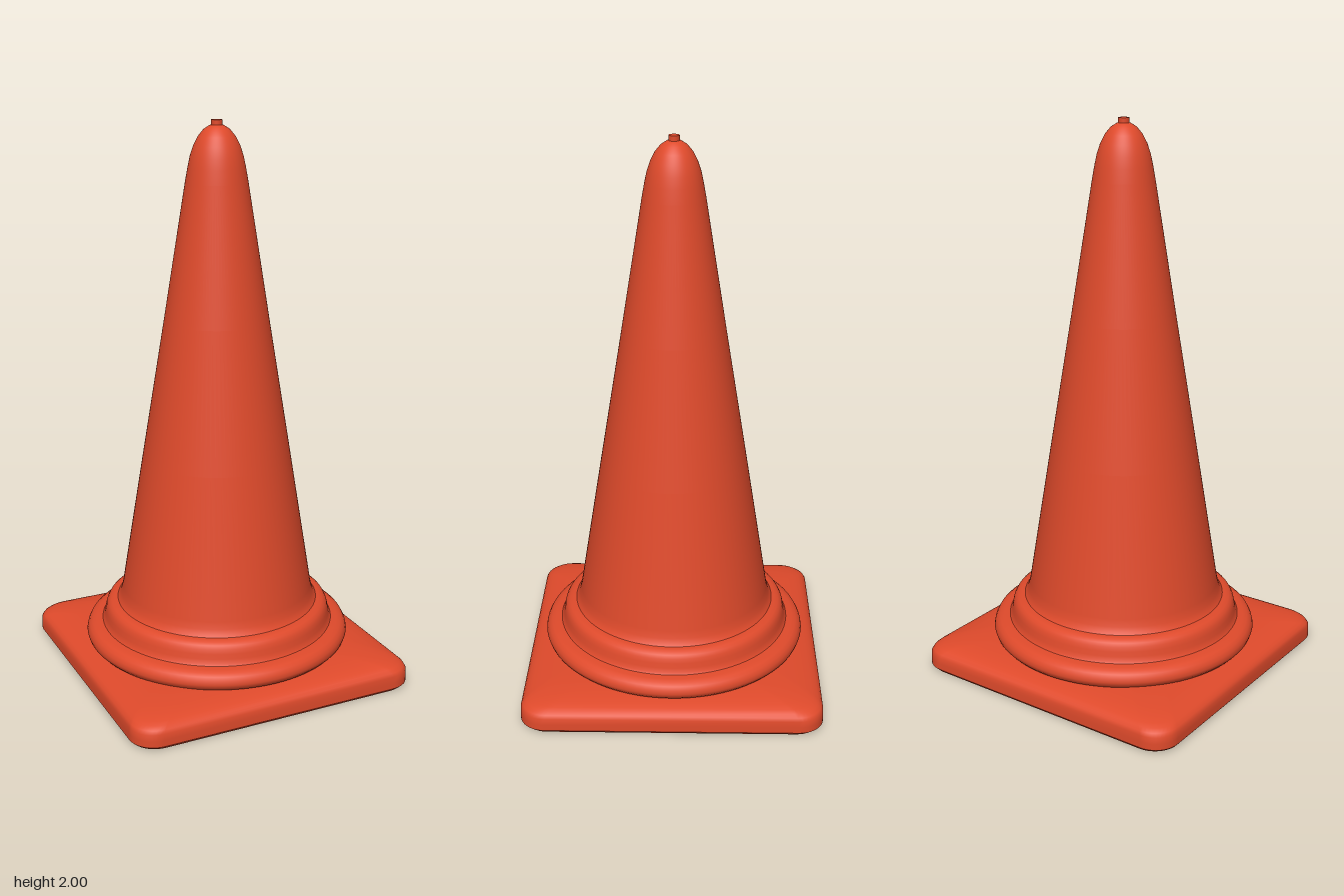
import * as THREE from 'three';

const orange = new THREE.MeshStandardMaterial({ color: 0xdf4a2b });
const HALF = 0.54, CORNER = 0.09, STEPS = 10;

// Rounded square outline, inset from the base edge, at height y
function squareLoop(y, inset) {
  const half = HALF - inset, r = Math.min(CORNER, half), points = [];
  for (let q = 0; q < 4; q++) {
    const mid = (q + 0.5) * Math.PI / 2;
    const cx = Math.sign(Math.cos(mid)) * (half - r);
    const cz = Math.sign(Math.sin(mid)) * (half - r);
    for (let i = 0; i <= STEPS; i++) {
      const a = (q + i / STEPS) * Math.PI / 2;
      points.push(cx + r * Math.cos(a), y, cz + r * Math.sin(a));
    }
  }
  return points;
}

// Joins rounded square outlines given as [y, inset] into a smooth skin
function loftSquares(rings) {
  const n = 4 * (STEPS + 1), index = [];
  for (let j = 0; j < rings.length - 1; j++) {
    for (let i = 0; i < n; i++) {
      const k = (i + 1) % n;
      const a = j * n + i, b = j * n + k, c = a + n, d = b + n;
      index.push(a, c, b, b, c, d);
    }
  }
  const geometry = new THREE.BufferGeometry();
  const positions = rings.flatMap(([y, inset]) => squareLoop(y, inset));
  geometry.setAttribute('position', new THREE.Float32BufferAttribute(positions, 3));
  geometry.setIndex(index);
  geometry.computeVertexNormals();
  return geometry;
}

function lathe(profile) {
  return new THREE.LatheGeometry(profile.map(([r, y]) => new THREE.Vector2(r, y)), 96);
}

export function createModel() {
  const group = new THREE.Group();
  const add = (name, geometry) => {
    const mesh = new THREE.Mesh(geometry, orange);
    mesh.name = name;
    group.add(mesh);
  };

  // Square foot: flat underside, small lower chamfer, softly domed top
  add('baseUnderside', loftSquares([[0, HALF], [0, 0.01]]));
  add('baseChamfer', loftSquares([[0, 0.01], [0.012, 0]]));
  add('base', loftSquares([
    [0.012, 0], [0.035, 0], [0.058, 0.001], [0.07, 0.007], [0.08, 0.018], [0.087, 0.033],
    [0.094, 0.055], [0.101, 0.09], [0.107, 0.14], [0.11, 0.2], [0.11, HALF],
  ]));

  // Wide lower collar
  add('lowerCollar', lathe([
    [0.43, 0.096], [0.455, 0.099], [0.473, 0.106], [0.483, 0.117], [0.487, 0.13],
    [0.484, 0.144], [0.477, 0.157], [0.465, 0.166], [0.45, 0.171], [0.427, 0.173],
  ]));

  // Narrower upper collar
  add('upperCollar', lathe([
    [0.429, 0.172], [0.423, 0.18], [0.419, 0.195], [0.416, 0.212], [0.412, 0.228],
    [0.405, 0.24], [0.395, 0.248], [0.382, 0.252], [0.365, 0.253],
  ]));

  // Tapered body with a flared foot and a rounded tip
  add('coneBody', lathe([
    [0.371, 0.252], [0.363, 0.262], [0.357, 0.278], [0.35, 0.305], [0.268, 0.81],
    [0.186, 1.31], [0.109, 1.79], [0.1, 1.84], [0.092, 1.878], [0.08, 1.914],
    [0.064, 1.945], [0.045, 1.968], [0.025, 1.981], [0, 1.986],
  ]));

  // Small nub on the tip
  const nub = new THREE.CylinderGeometry(0.019, 0.019, 0.03, 32);
  nub.translate(0, 1.985, 0);
  add('tipNub', nub);

  return group;
}
